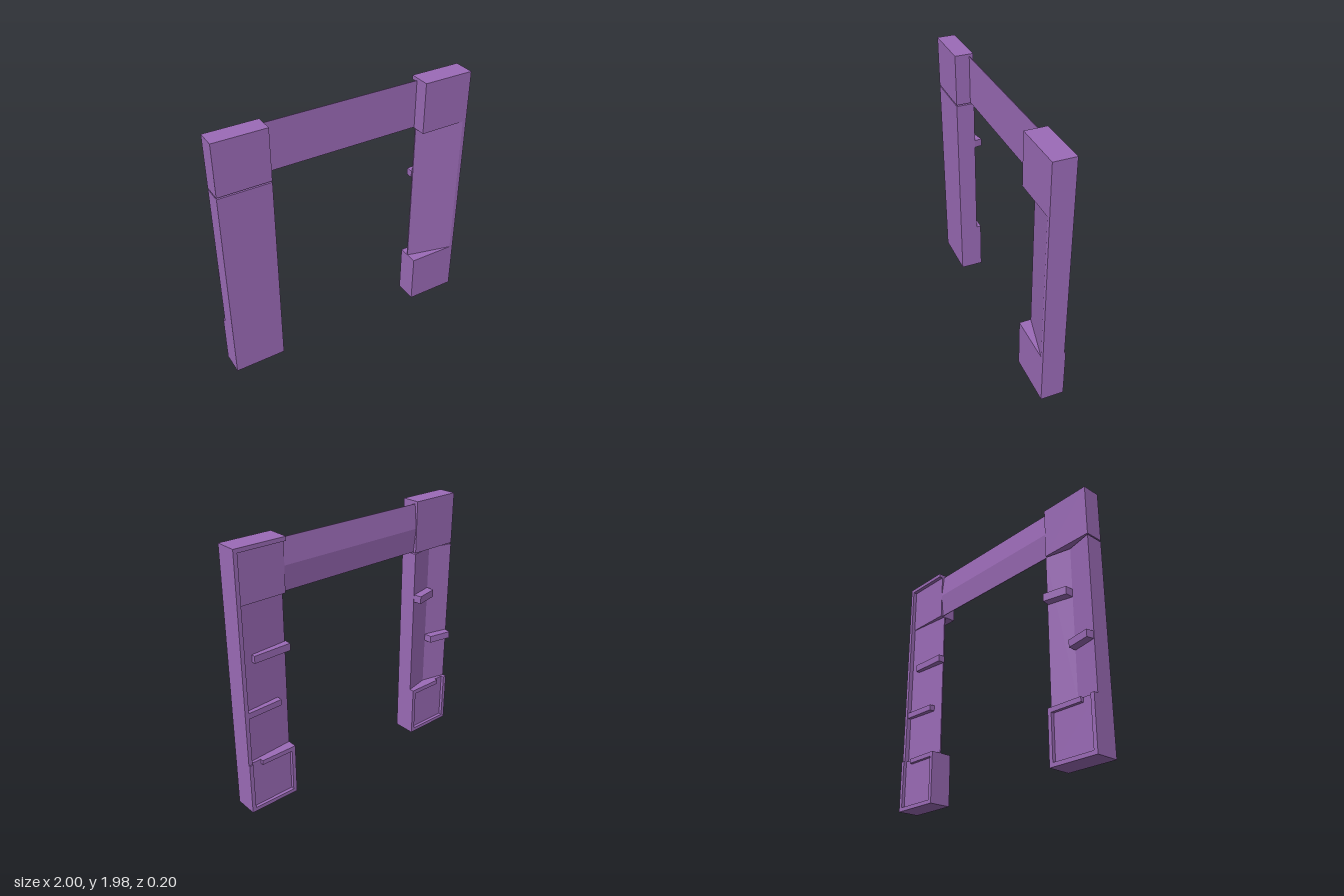
import * as THREE from 'three';

const material = new THREE.MeshStandardMaterial({ color: 0x9b6bb7, flatShading: true });

function add(parent, name, geometry) {
  const mesh = new THREE.Mesh(geometry, material);
  mesh.name = name;
  parent.add(mesh);
}

// Plan outline of [x, z] points, raised from y0 to y1
function plan(parent, name, points, y0, y1) {
  const shape = new THREE.Shape(points.map(([x, z]) => new THREE.Vector2(x, -z)));
  const geometry = new THREE.ExtrudeGeometry(shape, { depth: y1 - y0, bevelEnabled: false });
  geometry.rotateX(-Math.PI / 2).translate(0, y0, 0);
  add(parent, name, geometry);
}

// Box given by its limits
function box(parent, name, x0, x1, y0, y1, z0, z1) {
  const geometry = new THREE.BoxGeometry(x1 - x0, y1 - y0, z1 - z0);
  geometry.translate((x0 + x1) / 2, (y0 + y1) / 2, (z0 + z1) / 2);
  add(parent, name, geometry);
}

// Foot block with a framed recess on its back; side is +1 or -1
function base(parent, side) {
  const span = (name, a, b, y0, y1, z0, z1) =>
    box(parent, name, Math.min(a * side, b * side), Math.max(a * side, b * side), y0, y1, z0, z1);
  span('baseBlock', 0.605, 1, 0, 0.4, -0.05, 0.1);
  span('baseOuterRim', 0.97, 1, 0, 0.4, -0.075, -0.05);
  span('baseInnerRim', 0.605, 0.635, 0, 0.4, -0.075, -0.05);
  span('baseBottomRim', 0.635, 0.97, 0, 0.03, -0.075, -0.05);
  span('baseTopBar', 0.635, 0.89, 0.365, 0.4, -0.075, -0.05);
}

export function createModel() {
  const model = new THREE.Group();
  model.name = 'archway';

  // Left pillar: slanted front, shallow open back
  const left = new THREE.Group();
  left.name = 'leftPillar';
  base(left, 1);
  plan(left, 'slantedColumn', [
    [1, 0.1], [1, -0.065], [0.97, -0.065], [0.97, -0.03],
    [0.605, 0], [0.605, 0.01], [0.97, 0.1],
  ], 0.4, 1.58);
  plan(left, 'cap', [
    [1, 0.1], [1, -0.065], [0.97, -0.065], [0.97, -0.035], [0.605, -0.035], [0.605, 0.1],
  ], 1.58, 1.945);
  box(left, 'capTop', 0.605, 1, 1.945, 1.975, -0.065, 0.1);
  plan(left, 'upperPeg', [[0.595, 0.005], [0.595, -0.05], [0.89, -0.055], [0.89, -0.02]], 1.16, 1.215);
  plan(left, 'lowerPeg', [[0.69, 0], [0.69, -0.05], [0.97, -0.06], [0.97, -0.025]], 0.765, 0.81);

  // Right pillar: flat front, V-grooved back
  const right = new THREE.Group();
  right.name = 'rightPillar';
  base(right, -1);
  plan(right, 'groovedColumn', [
    [-1, 0.1], [-1, -0.04], [-0.8, 0.005], [-0.605, -0.04], [-0.605, 0.1],
  ], 0.4, 1.57);
  box(right, 'cap', -1, -0.605, 1.58, 1.975, -0.04, 0.1);
  plan(right, 'upperPeg', [[-0.61, -0.035], [-0.8, 0.01], [-0.8, -0.06], [-0.62, -0.1]], 1.18, 1.24);
  plan(right, 'lowerPeg', [[-0.995, -0.035], [-0.8, 0.01], [-0.8, -0.06], [-0.985, -0.095]], 0.775, 0.83);

  // Lintel: thin beam with a ridge along its back
  const profile = [[-0.01, 1.585], [-0.01, 1.955], [-0.015, 1.955], [-0.035, 1.77], [-0.015, 1.585]];
  const shape = new THREE.Shape(profile.map(([z, y]) => new THREE.Vector2(-z, y)));
  const lintel = new THREE.ExtrudeGeometry(shape, { depth: 1.21, bevelEnabled: false });
  lintel.rotateY(Math.PI / 2).translate(-0.605, 0, 0);

  model.add(left, right);
  add(model, 'lintel', lintel);
  return model;
}
